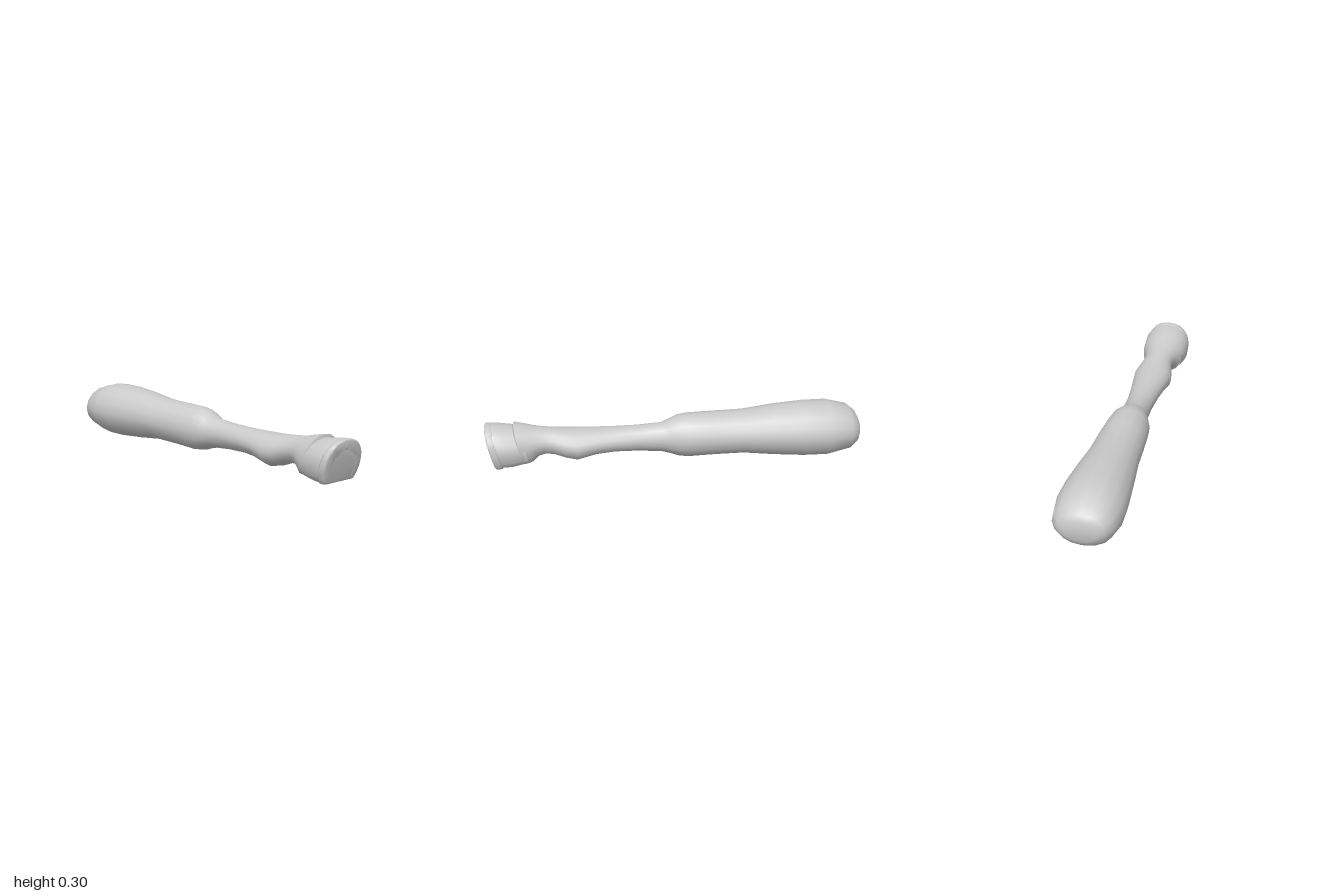
import * as THREE from 'three';
import { toCreasedNormals } from 'three/addons/utils/BufferGeometryUtils.js';

const SIDES = 16;
const grey = new THREE.MeshStandardMaterial({ color: 0xcccccc });

// Skins rows of [z, top, bottom, halfWidth, slant, flatness] into a closed limb.
function loft(rows, crease) {
  const pos = [], index = [];
  const add = (x, y, z, slant) => pos.push(x, y, z + slant * (y - 0.15));
  for (const [z, top, bottom, w, slant = 0, flat = 1] of rows) {
    const mid = (top + bottom) / 2, h = (top - bottom) / 2;
    for (let j = 0; j < SIDES; j++) {
      const a = (j / SIDES) * Math.PI * 2, c = Math.cos(a), s = Math.sin(a);
      // the underside is squared off where flat < 1
      const p = s < -1e-6 ? flat : 1;
      add(w * Math.sign(c) * Math.abs(c) ** p, mid + h * Math.sign(s) * Math.abs(s) ** p, z, slant);
    }
  }
  for (let i = 0; i < rows.length - 1; i++) {
    for (let j = 0; j < SIDES; j++) {
      const k = (j + 1) % SIDES;
      const a = i * SIDES + j, b = i * SIDES + k, c = b + SIDES, d = a + SIDES;
      index.push(a, b, c, a, c, d);
    }
  }
  // end caps
  const last = rows.length - 1;
  for (const i of [0, last]) {
    const [z, top, bottom, , slant = 0] = rows[i];
    const centre = pos.length / 3;
    add(0, (top + bottom) / 2, z, slant);
    for (let j = 0; j < SIDES; j++) {
      const a = i * SIDES + j, b = i * SIDES + ((j + 1) % SIDES);
      index.push(centre, i ? a : b, i ? b : a);
    }
  }
  const geo = new THREE.BufferGeometry();
  geo.setAttribute('position', new THREE.Float32BufferAttribute(pos, 3));
  geo.setIndex(index);
  geo.computeVertexNormals();
  return toCreasedNormals(geo, crease);
}

function part(name, geometry) {
  const mesh = new THREE.Mesh(geometry, grey);
  mesh.name = name;
  return mesh;
}

// U-shaped plate with rounded edges, tilted like the sole
function shoeGeometry() {
  const v = (x, y) => new THREE.Vector2(x, y);
  const mirror = pts => [...pts, ...pts.slice(0, -1).reverse().map(p => v(-p.x, p.y))];
  const outer = mirror([v(-0.075, 0.05), v(-0.1, 0.054), v(-0.117, 0.09), v(-0.125, 0.14),
    v(-0.112, 0.2), v(-0.068, 0.248), v(0, 0.264)]);
  const inner = mirror([v(0.06, 0.062), v(0.066, 0.095), v(0.071, 0.135), v(0.055, 0.175), v(0, 0.2)]);
  const shape = new THREE.Shape(new THREE.SplineCurve(outer).getPoints(44));
  shape.setFromPoints([...shape.getPoints(), ...new THREE.SplineCurve(inner).getPoints(32)]);
  const bevel = 0.011;
  const geo = new THREE.ExtrudeGeometry(shape, {
    depth: 0.022, bevelEnabled: true, bevelThickness: bevel, bevelSize: bevel,
    bevelOffset: -bevel, bevelSegments: 4,
  });
  const p = geo.attributes.position;
  for (let i = 0; i < p.count; i++) p.setZ(i, p.getZ(i) + 0.94 + 0.235 * (p.getY(i) - 0.15));
  return toCreasedNormals(geo, 0.9);
}

export function createModel() {
  const group = new THREE.Group();
  group.name = 'hoofedLeg';

  // thigh, knee, shin, fetlock and the slanted cuff above the hoof
  group.add(part('leg', loft([
    [-1, 0.205, 0.095, 0.085],
    [-0.985, 0.235, 0.065, 0.12],
    [-0.945, 0.268, 0.032, 0.15],
    [-0.83, 0.297, 0.003, 0.17],
    [-0.7, 0.298, 0.004, 0.166],
    [-0.53, 0.287, 0.018, 0.15],
    [-0.37, 0.268, 0.036, 0.132],
    [-0.2, 0.267, 0.034, 0.124],
    [-0.07, 0.266, 0.029, 0.115],
    [-0.02, 0.259, 0.036, 0.105],
    [0.03, 0.238, 0.053, 0.088],
    [0.07, 0.222, 0.063, 0.071],
    [0.2, 0.213, 0.076, 0.073],
    [0.32, 0.211, 0.08, 0.082],
    [0.42, 0.212, 0.073, 0.094],
    [0.52, 0.216, 0.048, 0.108],
    [0.58, 0.22, 0.062, 0.1],
    [0.64, 0.226, 0.085, 0.083],
    [0.69, 0.233, 0.091, 0.083, 0.05],
    [0.73, 0.24, 0.08, 0.092, 0.1],
    [0.77, 0.252, 0.056, 0.109, 0.18, 0.85],
    [0.818, 0.265, 0.048, 0.121, 0.25, 0.75],
    [0.826, 0.252, 0.054, 0.115, 0.25, 0.75],
  ], 0.95)));

  // hoof wall, flattened underneath
  group.add(part('hoof', loft([
    [0.79, 0.243, 0.055, 0.114, 0.25, 0.7],
    [0.83, 0.25, 0.05, 0.121, 0.25, 0.7],
    [0.88, 0.258, 0.043, 0.128, 0.25, 0.65],
    [0.925, 0.264, 0.041, 0.131, 0.25, 0.65],
    [0.937, 0.263, 0.043, 0.129, 0.25, 0.65],
    [0.941, 0.257, 0.048, 0.122, 0.25, 0.65],
  ], 0.9)));

  group.add(part('shoe', shoeGeometry()));
  return group;
}
